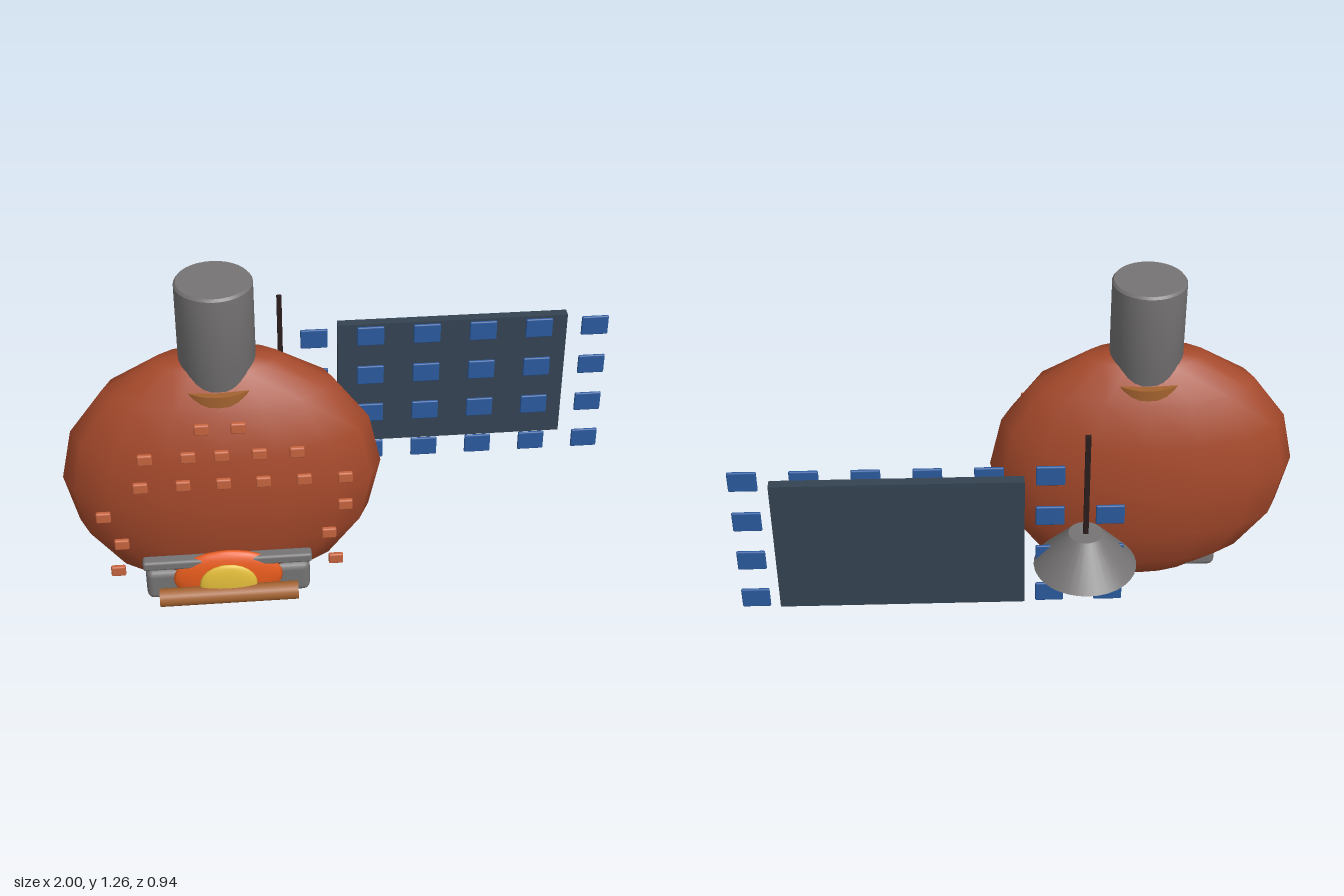
import * as THREE from 'three';
import { RoundedBoxGeometry } from 'three/addons/geometries/RoundedBoxGeometry.js';

const mat = (name, color) => {
  const m = new THREE.MeshStandardMaterial({ color });
  m.name = name;
  return m;
};

export function createModel() {
  const clay = mat('clay red', 0xa5492b);
  const brick = mat('brick orange', 0xc7643f);
  const steel = mat('steel grey', 0x757373);
  const wood = mat('wood brown', 0xa3622f);
  const ember = mat('ember orange', 0xe55a1c);
  const flame = mat('flame yellow', 0xe3bd3a);
  const slate = mat('slate', 0x344352);
  const blue = mat('tile blue', 0x2a5a9e);
  const cord = mat('cord black', 0x2b1d1d);
  const glow = mat('bulb amber', 0xdb9a42);

  const model = new THREE.Group();
  model.name = 'ovenAndSign';
  const add = (name, geo, material, x, y, z, parent = model) => {
    const mesh = new THREE.Mesh(geo, material);
    mesh.name = name;
    mesh.position.set(x, y, z);
    parent.add(mesh);
    return mesh;
  };
  const ellipsoid = (rx, ry, rz, w, h) => new THREE.SphereGeometry(1, w, h).scale(rx, ry, rz);
  const cx = -0.445, cz = 0.157;

  // Domed oven body, coarse sphere
  add('ovenBody', ellipsoid(0.555, 0.5, 0.239, 16, 8), clay, cx, 0.504, cz);

  // Chimney with a slightly bevelled top, and its collar
  const chimney = [[0, 0.8], [0.13, 0.8], [0.13, 1.257], [0.13, 1.257], [0.123, 1.266], [0.123, 1.266], [0, 1.266]];
  add('chimney', new THREE.LatheGeometry(chimney.map(p => new THREE.Vector2(...p)), 32), steel, cx, 0, cz);
  add('chimneyCollar', new THREE.CylinderGeometry(0.16, 0.16, 0.045, 32), wood, cx, 0.888, cz);

  // Hearth base, mantel bar, fire and log
  add('hearthBase', new RoundedBoxGeometry(0.58, 0.125, 0.265, 2, 0.025), steel, cx, 0.1275, 0.1985);
  add('mantelBar', new RoundedBoxGeometry(0.585, 0.036, 0.045, 2, 0.01), steel, cx, 0.28, 0.385);
  add('fireGlow', ellipsoid(0.19, 0.113, 0.035, 24, 14), ember, cx, 0.208, 0.39);
  add('flame', ellipsoid(0.1, 0.084, 0.018, 20, 12), flame, cx, 0.207, 0.43);
  add('log', new THREE.CylinderGeometry(0.032, 0.032, 0.48, 16).rotateZ(Math.PI / 2), wood, cx, 0.17, 0.44);

  // Rows of bricks floating over the face of the oven
  const bricks = new THREE.Group();
  bricks.name = 'faceBricks';
  model.add(bricks);
  const brickGeo = new RoundedBoxGeometry(0.05, 0.04, 0.018, 2, 0.006);
  const rows = [
    [0.85, [-0.508, -0.388]],
    [0.74, [-0.7, -0.558, -0.447, -0.322, -0.197]],
    [0.625, [-0.722, -0.58, -0.445, -0.312, -0.175, -0.037]],
    [0.51, [-0.853, -0.037]],
    [0.39, [-0.8, -0.093]],
    [0.275, [-0.82, -0.07]],
  ];
  for (const [y, xs] of rows) for (const x of xs) add('brick', brickGeo, brick, x, y, 0.405, bricks);

  // Board and the grid of tiles in front of it
  add('board', new THREE.BoxGeometry(0.855, 0.522, 0.036), slate, 0.4275, 0.519, -0.32);
  const tiles = new THREE.Group();
  tiles.name = 'tiles';
  model.add(tiles);
  const tileGeo = new RoundedBoxGeometry(0.1, 0.078, 0.012, 2, 0.005);
  for (let c = 0; c < 7; c++) {
    for (let r = 0; r < 4; r++) {
      if (c === 0 && r === 3) continue;
      add('tile', tileGeo, blue, -0.298 + c * 0.208, 0.242 + r * 0.17, -0.266, tiles);
    }
  }

  // Hanging lamp
  const lamp = new THREE.Group();
  lamp.name = 'lamp';
  lamp.position.set(-0.213, 0, -0.288);
  model.add(lamp);
  add('lampCord', new THREE.BoxGeometry(0.018, 0.41, 0.018), cord, 0, 0.722, 0, lamp);
  add('lampShade', new THREE.CylinderGeometry(0.06, 0.18, 0.136, 32), steel, 0, 0.453, 0, lamp);
  add('lampBulb', ellipsoid(0.068, 0.07, 0.068, 20, 14), glow, 0, 0.347, 0, lamp);

  return model;
}
